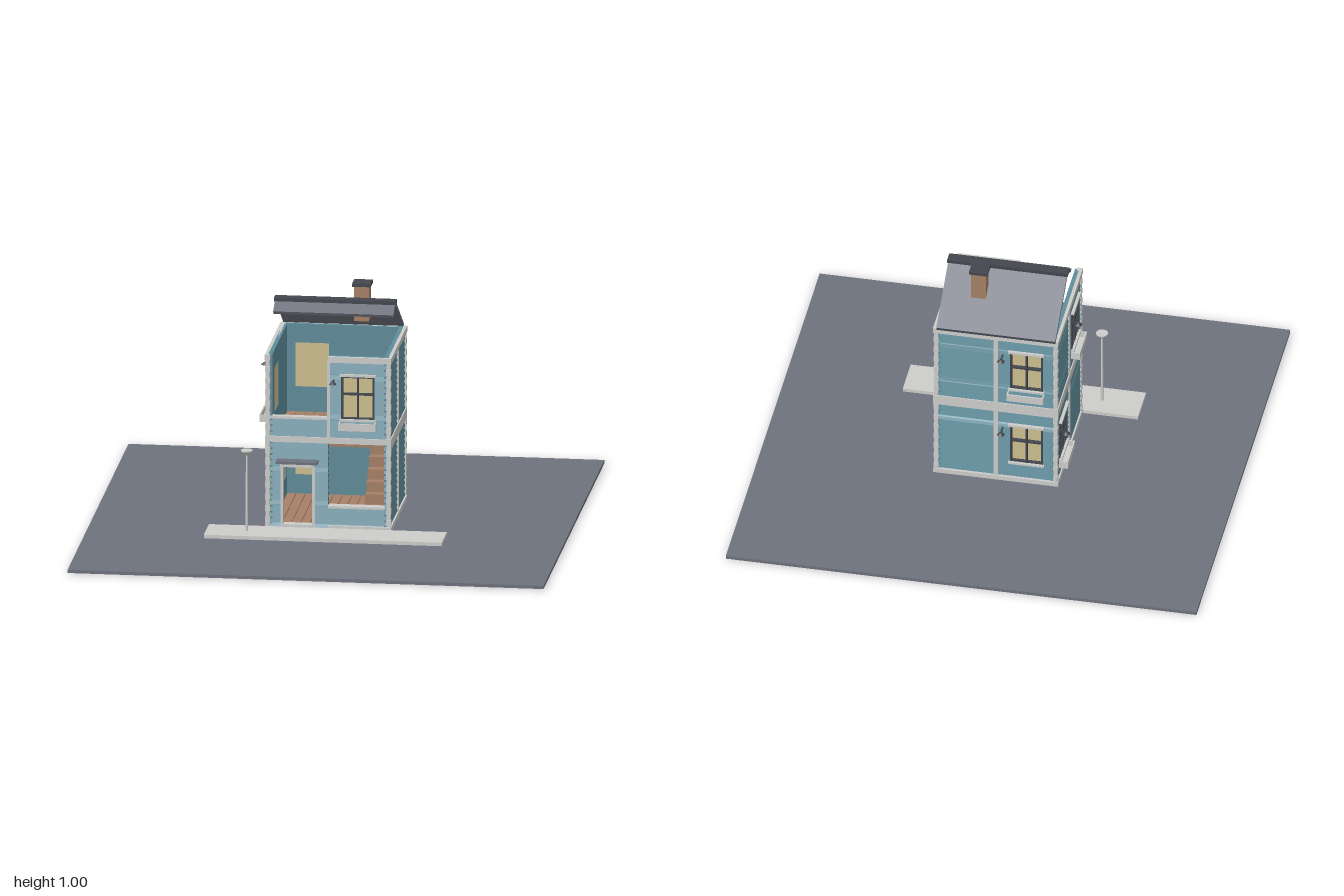
import * as THREE from 'three';
import { mergeGeometries } from 'three/addons/utils/BufferGeometryUtils.js';

const mat = (name, color) => {
  const m = new THREE.MeshStandardMaterial({ color });
  m.name = name;
  return m;
};
const teal = mat('tealSiding', 0x5f8c9a);
const white = mat('paleTrim', 0xcdcdcb);
const slate = mat('slateGrey', 0x6e727d);
const dark = mat('charcoal', 0x43464e);
const brown = mat('brownWood', 0xa58065);
const cream = mat('creamGlass', 0xcdbf90);

const BOTTOM = 0.02, TOP = 0.77, ROW = 0.025, INNER = 0.235;

// Box given by its minimum and maximum corners
function box(parent, name, material, x0, x1, y0, y1, z0, z1) {
  const m = new THREE.Mesh(new THREE.BoxGeometry(x1 - x0, y1 - y0, z1 - z0), material);
  m.position.set((x0 + x1) / 2, (y0 + y1) / 2, (z0 + z1) / 2);
  m.name = name;
  parent.add(m);
  return m;
}

function cylinder(parent, name, material, rTop, rBottom, y0, y1, x, z, sides = 16) {
  const m = new THREE.Mesh(new THREE.CylinderGeometry(rTop, rBottom, y1 - y0, sides), material);
  m.position.set(x, (y0 + y1) / 2, z);
  m.name = name;
  parent.add(m);
}

// One clapboard, thicker at its lower edge, spanning u0..u1
function clapboard(u0, u1, y0, y1) {
  const s = new THREE.Shape();
  s.moveTo(INNER, y0);
  s.lineTo(0.26, y0);
  s.lineTo(0.252, y1);
  s.lineTo(INNER, y1);
  return new THREE.ExtrudeGeometry(s, { depth: u1 - u0, bevelEnabled: false })
    .rotateY(-Math.PI / 2).translate(u1, 0, 0);
}

// Wall facing local +z, made of boards cut around openings [u0, u1, y0, y1]
function wall(parent, name, angle, openings) {
  const g = new THREE.Group();
  g.name = name;
  g.rotation.y = angle;
  parent.add(g);
  const ys = openings.flatMap(o => [o[2], o[3]]);
  for (let i = 0; i <= Math.round((TOP - BOTTOM) / ROW); i++) ys.push(BOTTOM + i * ROW);
  ys.sort((a, b) => a - b);
  const boards = [];
  for (let i = 0; i + 1 < ys.length; i++) {
    const y0 = ys[i], y1 = ys[i + 1], mid = (y0 + y1) / 2;
    if (y1 - y0 < 0.001) continue;
    let u = -0.255;
    const cuts = openings.filter(o => mid > o[2] && mid < o[3]).sort((a, b) => a[0] - b[0]);
    for (const o of [...cuts, [0.255, 0.255]]) {
      if (o[0] - u > 0.001) boards.push(clapboard(u, o[0], y0, y1));
      u = Math.max(u, o[1]);
    }
  }
  const m = new THREE.Mesh(mergeGeometries(boards), teal);
  m.name = name + 'Siding';
  g.add(m);
  return g;
}

// Horizontal bands and centre strip
function trims(g, topFrom = -0.265) {
  box(g, 'baseTrim', white, -0.265, 0.265, 0.02, 0.04, 0.245, 0.265);
  box(g, 'middleTrim', white, -0.265, 0.265, 0.375, 0.42, 0.25, 0.265);
  box(g, 'topTrim', white, topFrom, 0.265, 0.745, 0.77, 0.245, 0.266);
  box(g, 'centreStrip', white, -0.01, 0.01, 0.04, 0.745, 0.25, 0.263);
}

// Glazed window with glazing bars, lintel, wall lamp and optional planter
const opening = (c, y) => [c - 0.07, c + 0.07, y, y + 0.19];
function windowUnit(parent, c, y, planter) {
  const g = new THREE.Group();
  g.name = 'window';
  g.position.set(c, y, 0);
  parent.add(g);
  box(g, 'glass', cream, -0.07, 0.07, 0, 0.19, 0.238, 0.246);
  for (const x of [-0.066, 0, 0.066])
    box(g, 'verticalBar', dark, x - 0.004, x + 0.004, 0, 0.19, 0.246, 0.262);
  for (const yy of [0.004, 0.11, 0.184])
    box(g, 'crossBar', dark, -0.07, 0.07, yy - 0.004, yy + 0.004, 0.246, 0.261);
  box(g, 'lintel', white, -0.076, 0.076, 0.187, 0.197, 0.25, 0.272);
  box(g, 'sill', white, -0.076, 0.076, -0.006, 0.003, 0.25, 0.272);
  if (planter) {
    box(g, 'planterFloor', white, -0.078, 0.078, -0.04, -0.034, 0.26, 0.297);
    box(g, 'planterFront', white, -0.078, 0.078, -0.034, -0.008, 0.291, 0.297);
    for (const x of [-0.078, 0.072])
      box(g, 'planterEnd', white, x, x + 0.006, -0.034, -0.008, 0.26, 0.291);
  }
  box(g, 'lampArm', dark, -0.104, -0.098, 0.166, 0.172, 0.25, 0.298);
  cylinder(g, 'lampShade', dark, 0.006, 0.016, 0.16, 0.17, -0.101, 0.296, 12);
}

export function createModel() {
  const model = new THREE.Group();
  model.name = 'house';

  // Ground, pavement and street lamp
  box(model, 'ground', slate, -1, 1, 0.001, 0.015, -1, 1);
  box(model, 'foundation', brown, -0.25, 0.25, 0, 0.012, -0.245, 0.18);
  box(model, 'pavement', white, -0.5, 0.5, 0.01, 0.03, 0.265, 0.435);
  cylinder(model, 'streetLampPole', white, 0.004, 0.006, 0.03, 0.36, -0.33, 0.35);
  cylinder(model, 'streetLampHead', white, 0.025, 0.01, 0.358, 0.374, -0.33, 0.35);
  cylinder(model, 'streetLampCap', white, 0.025, 0.025, 0.374, 0.379, -0.33, 0.35);

  // Front wall with doorway, shop opening and open upper left room
  const front = wall(model, 'frontWall', 0, [
    [-0.19, -0.065, 0.03, 0.29], [0, 0.235, 0.125, 0.395],
    [-0.255, 0, 0.5, 0.77], opening(0.125, 0.5)]);
  windowUnit(front, 0.125, 0.5, true);
  box(front, 'baseTrim', white, 0, 0.265, 0.02, 0.04, 0.245, 0.265);
  box(front, 'middleTrim', white, -0.265, 0.265, 0.395, 0.42, 0.245, 0.266);
  box(front, 'topTrim', white, 0, 0.265, 0.745, 0.77, 0.25, 0.266);
  box(front, 'centreStrip', white, -0.004, 0.008, 0.42, 0.745, 0.245, 0.264);
  box(front, 'openingSill', white, 0, 0.24, 0.117, 0.127, 0.232, 0.27);
  box(front, 'parapetCap', white, -0.255, 0, 0.495, 0.505, 0.232, 0.262);
  for (const x of [-0.2, -0.067])
    box(front, 'doorJamb', white, x, x + 0.012, 0.03, 0.29, 0.235, 0.265);
  box(front, 'doorLintel', white, -0.2, -0.055, 0.288, 0.3, 0.235, 0.268);
  box(front, 'doorStep', white, -0.19, -0.065, 0.03, 0.042, 0.235, 0.27);
  box(front, 'awning', slate, -0.215, -0.04, 0.312, 0.322, 0.25, 0.312);

  // Back wall
  const back = wall(model, 'backWall', Math.PI, [opening(0.13, 0.12), opening(0.13, 0.5)]);
  trims(back);
  windowUnit(back, 0.13, 0.12, false);
  windowUnit(back, 0.13, 0.5, true);

  // Side walls
  const west = wall(model, 'windowedSideWall', -Math.PI / 2,
    [opening(-0.135, 0.12), opening(0.12, 0.5)]);
  trims(west);
  windowUnit(west, -0.135, 0.12, true);
  windowUnit(west, 0.12, 0.5, true);
  trims(wall(model, 'plainSideWall', Math.PI / 2, []));

  // Corner blocks, alternating in size
  for (const sx of [-1, 1]) for (const sz of [-1, 1]) for (let i = 0; i < 30; i++) {
    const h = i % 2 ? 0.0105 : 0.0085, y = BOTTOM + i * ROW;
    const cx = sx * 0.2535, cz = sz * 0.2535;
    box(model, 'cornerBlock', white, cx - h, cx + h, y, y + ROW, cz - h, cz + h);
  }

  // Plank floors; the upper one leaves a stairwell at the back
  box(model, 'groundFloorBase', dark, -0.24, 0.24, 0.012, 0.03, -0.24, 0.24);
  for (let i = 0; i < 12; i++) {
    const x = -INNER + i * 0.0392;
    box(model, 'groundFloorPlank', brown, x, x + 0.0365, 0.03, 0.038, -INNER, INNER);
    box(model, 'upperFloorPlank', brown, x, x + 0.038, 0.375, 0.392, x > 0.11 ? 0 : -INNER, INNER);
  }

  // Stairs rising toward the back
  for (let i = 0; i < 8; i++)
    box(model, 'stairStep', brown, 0.13, INNER, 0.038, 0.082 + i * 0.043,
      0.1 - (i + 1) * 0.04, 0.1 - i * 0.04);

  // Roof slabs, each hung from the ridge
  const slab = (name, z, y) => {
    const len = Math.hypot(z, y - 0.94);
    const m = new THREE.Mesh(new THREE.BoxGeometry(0.505, 0.014, len), slate);
    m.position.set(-0.002, (0.94 + y) / 2, z / 2);
    m.rotation.x = Math.atan2(0.94 - y, z) - (z < 0 ? Math.PI : 0);
    m.name = name;
    model.add(m);
  };
  slab('backRoof', -0.268, 0.772);
  slab('frontRoof', 0.072, 0.9);
  box(model, 'ridgeCap', dark, -0.258, 0.254, 0.935, 0.95, -0.025, 0.022);
  box(model, 'eaveGutter', dark, -0.255, 0.25, 0.768, 0.778, -0.272, -0.258);

  // Chimney
  box(model, 'chimney', brown, 0.066, 0.128, 0.833, 0.985, -0.142, -0.08);
  box(model, 'chimneyCap', dark, 0.058, 0.136, 0.983, 0.996, -0.15, -0.073);
  return model;
}
